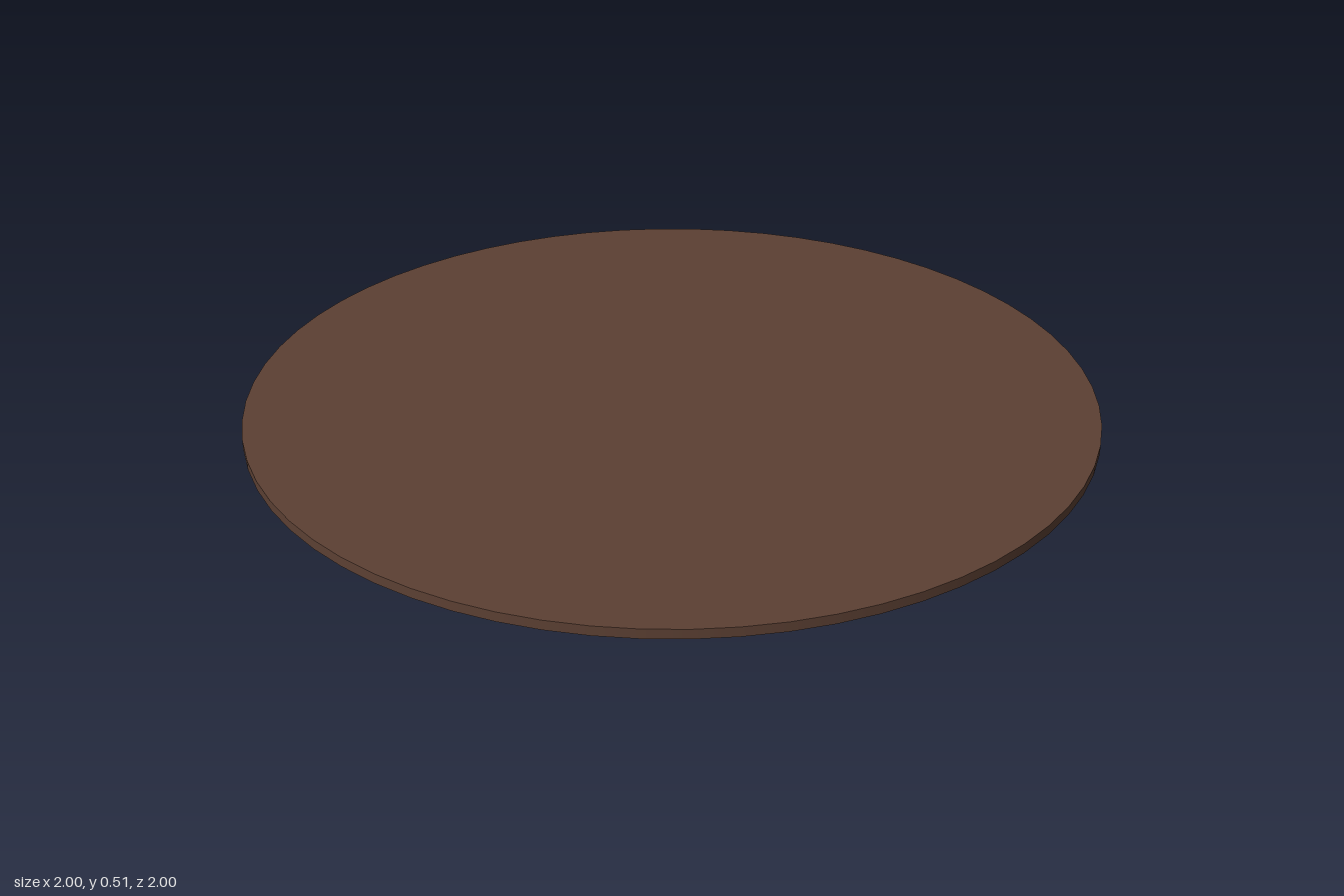
import * as THREE from 'three';

export function createModel() {
  const group = new THREE.Group();
  group.name = 'pedestalTable';

  const wood = new THREE.MeshStandardMaterial({ color: 0x5c4033 });
  wood.name = 'dark brown wood';
  const metal = new THREE.MeshStandardMaterial({ color: 0x111111 });
  metal.name = 'black metal';

  // Adds an upright disc or column spanning two heights
  const addCylinder = (name, radius, bottom, top, sides, material) => {
    const mesh = new THREE.Mesh(
      new THREE.CylinderGeometry(radius, radius, top - bottom, sides), material);
    mesh.name = name;
    mesh.position.y = (bottom + top) / 2;
    group.add(mesh);
  };

  // Thin round top
  addCylinder('tableTop', 1, 0.49, 0.513, 64, wood);
  // Central column, ending inside the top
  addCylinder('pedestal', 0.125, 0, 0.5, 32, metal);

  return group;
}
